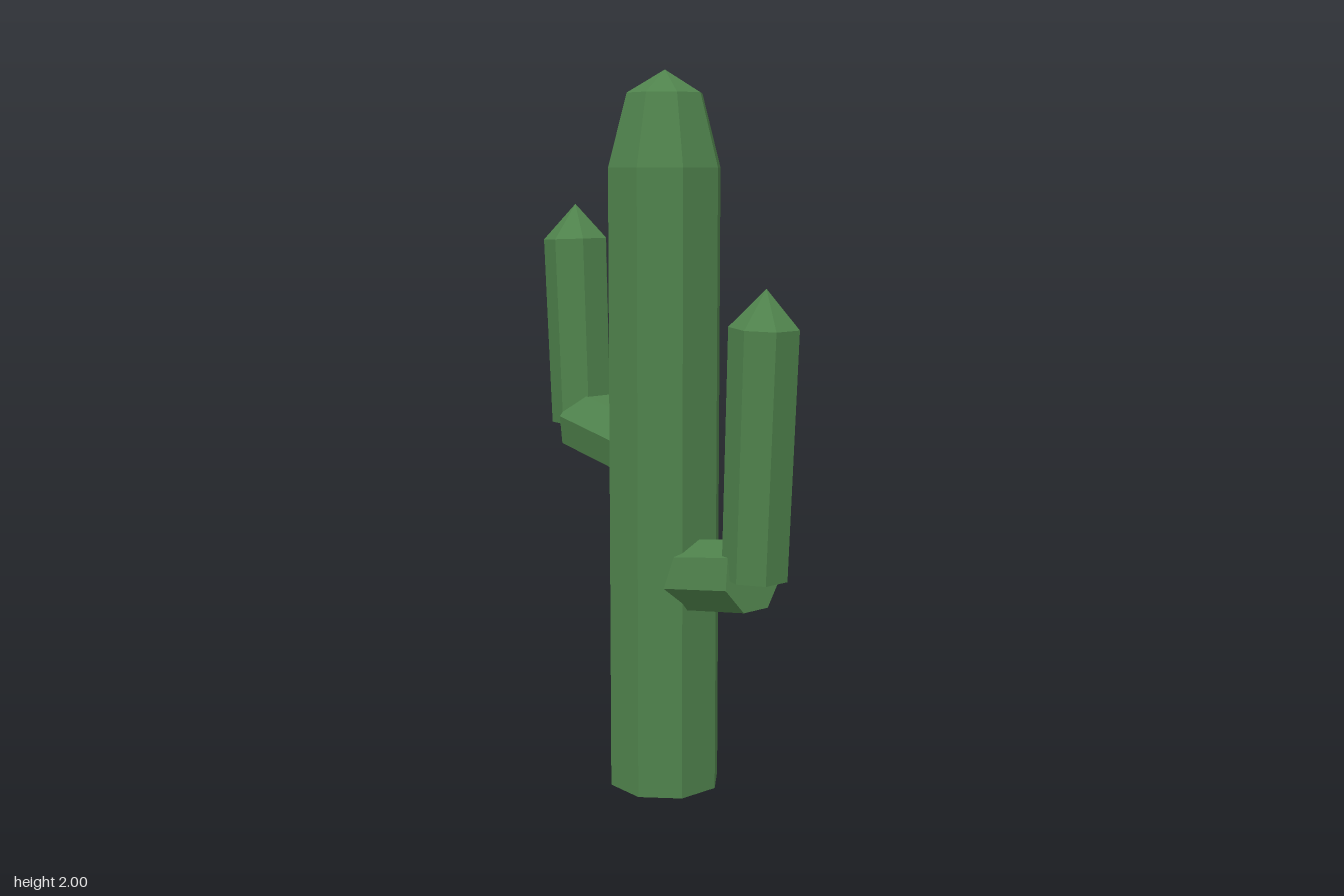
import * as THREE from 'three';

const green = new THREE.MeshStandardMaterial({ color: 0x4f824c });
green.name = 'cactusGreen';

// Closed faceted column turned around y from [radius, height] pairs
function column(name, profile, sides, startAngle) {
  const points = profile.map(([r, y]) => new THREE.Vector2(r, y));
  const turned = new THREE.LatheGeometry(points, sides, startAngle);
  const geometry = turned.toNonIndexed();
  geometry.computeVertexNormals(); // flat facets
  const mesh = new THREE.Mesh(geometry, green);
  mesh.name = name;
  return mesh;
}

// Bent arm: a stub rising out of the trunk and a nearly upright, pointed branch
function createArm(name, side, elbow, branchBase, branchTop, tipHeight) {
  const arm = new THREE.Group();
  arm.name = name;

  const tilt = THREE.MathUtils.degToRad(80);
  const length = 0.33;
  const stub = column('armStub', [[0, 0], [0.1, 0], [0.1, length], [0, length]], 7, -Math.PI / 2);
  stub.rotation.z = -side * tilt;
  stub.position.set(
    elbow.x - side * Math.sin(tilt) * length,
    elbow.y - Math.cos(tilt) * length,
    0
  );

  const span = branchTop.clone().sub(branchBase);
  const h = span.length();
  const branch = column('armBranch', [[0, 0], [0.09, 0], [0.095, h], [0, h + tipHeight]], 7, -Math.PI / 2);
  branch.position.set(branchBase.x, branchBase.y, 0);
  branch.rotation.z = -Math.atan2(span.x, span.y);

  arm.add(stub, branch);
  return arm;
}

export function createModel() {
  const cactus = new THREE.Group();
  cactus.name = 'cactus';
  const v = (x, y) => new THREE.Vector2(x, y);

  // Eight-sided trunk with a tapered shoulder and shallow tip
  const trunk = column(
    'trunk',
    [[0, 0], [0.16, 0], [0.16, 1.74], [0.107, 1.938], [0, 2]],
    8, Math.PI / 8
  );
  trunk.position.x = 0.003;
  cactus.add(trunk);

  cactus.add(createArm('leftArm', 1, v(0.364, 0.669), v(0.377, 0.67), v(0.404, 1.335), 0.1));
  cactus.add(createArm('rightArm', -1, v(-0.361, 1.003), v(-0.374, 1.0), v(-0.398, 1.535), 0.1));

  return cactus;
}
